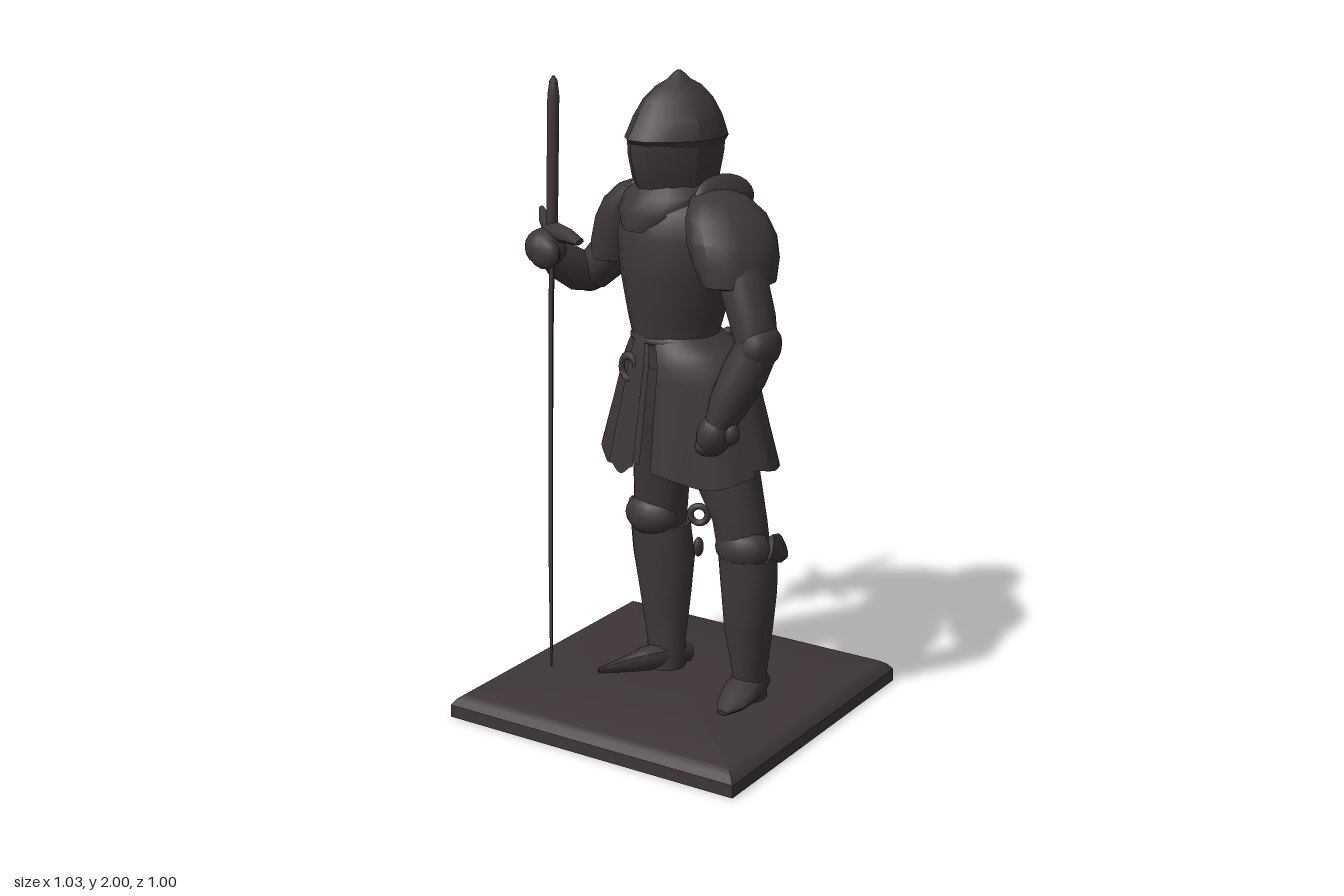
import * as THREE from 'three';
import { toCreasedNormals } from 'three/addons/utils/BufferGeometryUtils.js';

const steel = new THREE.MeshStandardMaterial({ color: 0x3e3636 });
steel.name = 'darkSteel';
const steelSheet = new THREE.MeshStandardMaterial({ color: 0x3e3636, side: THREE.DoubleSide });
steelSheet.name = 'darkSteelSheet';
const UP = new THREE.Vector3(0, 1, 0);

// Closed loft through rings [x, y, z, rx, rz], listed upward or along a limb.
// follow: rings turn with the path; pinch: narrows the front into a keel.
function loft(rings, { n = 16, yaw = 0, follow = false, pinch = 0, crease = 0.75 } = {}) {
  const pos = [], idx = [];
  const c = rings.map(r => new THREE.Vector3(r[0], r[1], r[2]));
  const last = rings.length - 1;
  rings.forEach((r, i) => {
    const q = new THREE.Quaternion();
    if (follow) {
      const t = c[Math.min(i + 1, last)].clone().sub(c[Math.max(i - 1, 0)]).normalize();
      q.setFromUnitVectors(UP, t);
    } else q.setFromAxisAngle(UP, yaw);
    for (let j = 0; j < n; j++) {
      const a = j / n * Math.PI * 2;
      const front = Math.max(0, Math.cos(a));
      const p = new THREE.Vector3(Math.sin(a) * r[3] * (1 - pinch * front), 0, Math.cos(a) * r[4]);
      pos.push(...p.applyQuaternion(q).add(c[i]).toArray());
    }
  });
  for (let i = 0; i < last; i++) for (let j = 0; j < n; j++) {
    const a = i * n + j, b = i * n + (j + 1) % n;
    idx.push(a, b, b + n, a, b + n, a + n);
  }
  const s = pos.length / 3;
  pos.push(...c[0].toArray(), ...c[last].toArray());
  for (let j = 0; j < n; j++) {
    const k = (j + 1) % n;
    idx.push(s, k, j, s + 1, last * n + j, last * n + k);
  }
  return finish(pos, idx, crease);
}

// Open sheet from a function of u, v in 0..1
function sheet(f, nu, nv) {
  const pos = [], idx = [];
  for (let i = 0; i <= nv; i++) for (let j = 0; j <= nu; j++) pos.push(...f(j / nu, i / nv));
  for (let i = 0; i < nv; i++) for (let j = 0; j < nu; j++) {
    const a = i * (nu + 1) + j, b = a + nu + 1;
    idx.push(a, b, a + 1, a + 1, b, b + 1);
  }
  return finish(pos, idx, 0.75);
}

function finish(pos, idx, crease) {
  const g = new THREE.BufferGeometry();
  g.setAttribute('position', new THREE.Float32BufferAttribute(pos, 3));
  g.setIndex(idx);
  return toCreasedNormals(g, crease);
}

export function createModel() {
  const model = new THREE.Group();
  model.name = 'armouredKnight';
  const add = (name, geo, mat = steel) => {
    const m = new THREE.Mesh(geo, mat);
    m.name = name;
    model.add(m);
    return m;
  };
  const ball = (name, p, s, ry = 0, rz = 0) => {
    const m = add(name, new THREE.SphereGeometry(1, 14, 10));
    m.position.set(...p);
    m.scale.set(...s);
    m.rotation.set(0, ry, rz);
    return m;
  };
  const lerp = THREE.MathUtils.lerp;
  const yaw = -0.35;

  // Bevelled square plinth with a gently domed top
  add('plinth', loft([[0, 0.5], [0.04, 0.5], [0.058, 0.487], [0.072, 0.468], [0.088, 0.15]]
    .map(([y, r]) => [0, y, 0, r * Math.SQRT2, r * Math.SQRT2]), { n: 4, yaw: Math.PI / 4, crease: 0.6 })).scale.x = 1.03;

  // Breastplate and gorget
  add('torso', loft([[0.015, 1.12, 0.01, 0.14, 0.125], [0.005, 1.19, 0.015, 0.135, 0.125], [0.005, 1.27, 0.01, 0.155, 0.145],
    [0.01, 1.4, 0.005, 0.19, 0.172], [0.01, 1.52, 0, 0.21, 0.178], [0.01, 1.6, -0.005, 0.2, 0.16],
    [0.01, 1.66, 0, 0.13, 0.11], [0.015, 1.72, 0.01, 0.085, 0.09]], { n: 20, yaw, pinch: 0.08 }));
  add('gorget', loft([[-0.015, 1.54, 0.05, 0.1, 0.13], [-0.01, 1.59, 0.03, 0.15, 0.15],
    [0, 1.64, 0.02, 0.15, 0.14], [0.01, 1.68, 0.02, 0.1, 0.11]], { yaw }));

  // Helmet: keeled visor with a peaked brow under a ridged skull
  const head = -0.45;
  add('visor', loft([[0.012, 1.63, 0.02, 0.097, 0.11], [0.012, 1.69, 0.024, 0.112, 0.138],
    [0.014, 1.76, 0.027, 0.122, 0.152], [0.016, 1.815, 0.028, 0.125, 0.155]], { n: 12, yaw: head, pinch: 0.14, crease: 0.5 }));
  add('helmetSkull', loft([[0.018, 1.79, 0.026, 0.122, 0.148], [0.018, 1.81, 0.03, 0.128, 0.165],
    [0.016, 1.87, 0.02, 0.119, 0.138], [0.015, 1.92, 0.015, 0.088, 0.11], [0.015, 1.955, 0.012, 0.055, 0.075],
    [0.015, 1.975, 0.01, 0.03, 0.035], [0.015, 1.99, 0.01, 0.018, 0.02], [0.015, 2, 0.01, 0.006, 0.006]],
  { n: 12, yaw: head, pinch: 0.14, crease: 0.5 }));

  // Skirt of overlapping plates, angle measured from the front towards +x
  const skirt = (name, a0, a1, bottom, grow) => add(name, sheet((u, v) => {
    const a = lerp(a0, a1, u);
    const hip = Math.sin(Math.min(1, v * 5) * Math.PI / 2);
    const r = grow * (1 + 0.02 * v * Math.sin(a * 9));
    return [0.015 + hip * 0.038 + Math.sin(a - 0.1) * (0.13 + hip * 0.055 + v * 0.108) * r,
      lerp(1.22, bottom + 0.015 * Math.cos(u * Math.PI * 2), v),
      0.01 - v * 0.01 + Math.cos(a - 0.1) * (0.128 + hip * 0.022 + v * 0.05) * r];
  }, 16, 10), steelSheet);
  skirt('leftFrontTasset', 0.05, 1.3, 0.8, 1.02);
  skirt('rightFrontTasset', -1.35, -0.1, 0.82, 1.02);
  skirt('frontFlap', -0.5, -0.16, 0.81, 1.07);
  skirt('leftBackSkirt', 1.15, 3.12, 0.825, 1);
  skirt('rightBackSkirt', 3.14, 5.15, 0.825, 1);
  add('hips', loft([[0.05, 0.92, -0.01, 0.17, 0.11], [0.05, 1.05, 0, 0.17, 0.13], [0.03, 1.16, 0.005, 0.14, 0.125], [0.015, 1.21, 0.01, 0.125, 0.115]]));

  // Belt, front knot and rear bosses
  const belt = add('belt', new THREE.TorusGeometry(0.125, 0.012, 8, 28));
  belt.rotation.x = Math.PI / 2;
  belt.scale.set(1.06, 1.02, 1);
  belt.position.set(0.012, 1.205, 0.012);
  const knot = add('beltKnot', new THREE.TorusGeometry(0.026, 0.01, 6, 14));
  knot.position.set(-0.07, 1.12, 0.155);
  knot.scale.y = 1.4;
  for (const a of [-0.9, -0.45, 0, 0.45, 0.9])
    ball('beltBoss', [0.02 + Math.sin(a) * 0.14, 1.18 - 0.02 * Math.cos(a * 3), -Math.cos(a) * 0.14], [0.02, 0.022, 0.022]);
  add('hangingPouch', loft([[0.05, 1.07, -0.18, 0.016, 0.014], [0.05, 1.12, -0.165, 0.022, 0.018], [0.05, 1.18, -0.13, 0.012, 0.012]], { n: 8 }));

  // Legs, with knee cops, swept side wings and sabatons
  const leg = (side, thigh, greave, knee, wing, foot) => {
    add(side + 'Thigh', loft(thigh));
    add(side + 'Greave', loft(greave));
    ball(side + 'KneeCop', knee, [0.09, 0.07, 0.068]);
    add(side + 'KneeWing', loft(wing, { follow: true, n: 10 }));
    add(side + 'Sabaton', loft(foot, { follow: true, n: 12 }));
  };
  leg('right',
    [[-0.095, 0.56, -0.055, 0.085, 0.075], [-0.085, 0.68, -0.045, 0.09, 0.08], [-0.07, 0.82, -0.035, 0.098, 0.093], [-0.055, 1.02, -0.01, 0.11, 0.11]],
    [[-0.065, 0.08, -0.045, 0.06, 0.06], [-0.07, 0.17, -0.05, 0.064, 0.055], [-0.08, 0.33, -0.06, 0.085, 0.076],
      [-0.085, 0.46, -0.06, 0.103, 0.086], [-0.095, 0.57, -0.055, 0.1, 0.084]],
    [-0.1, 0.6, -0.015],
    [[-0.185, 0.6, -0.02, 0.012, 0.04], [-0.19, 0.58, -0.07, 0.014, 0.045], [-0.17, 0.55, -0.125, 0.01, 0.035]],
    [[-0.03, 0.11, -0.115, 0.035, 0.03], [-0.055, 0.125, -0.06, 0.058, 0.045], [-0.11, 0.115, 0.02, 0.06, 0.04],
      [-0.16, 0.1, 0.08, 0.048, 0.022], [-0.21, 0.092, 0.13, 0.016, 0.008]]);
  leg('left',
    [[0.265, 0.54, 0.025, 0.083, 0.08], [0.245, 0.66, 0.025, 0.085, 0.085], [0.185, 0.82, 0.025, 0.115, 0.098], [0.13, 1.02, 0.01, 0.12, 0.11]],
    [[0.28, 0.08, 0.01, 0.05, 0.06], [0.28, 0.17, 0.015, 0.052, 0.062], [0.28, 0.32, 0.025, 0.075, 0.08],
      [0.28, 0.44, 0.025, 0.087, 0.087], [0.275, 0.55, 0.025, 0.093, 0.087]],
    [0.272, 0.58, 0.05],
    [[0.355, 0.59, 0.03, 0.012, 0.04], [0.355, 0.57, -0.03, 0.014, 0.045], [0.33, 0.54, -0.1, 0.01, 0.03]],
    [[0.275, 0.11, -0.06, 0.035, 0.03], [0.278, 0.13, 0, 0.054, 0.05], [0.283, 0.115, 0.08, 0.058, 0.04],
      [0.285, 0.1, 0.14, 0.045, 0.022], [0.287, 0.092, 0.19, 0.016, 0.008]]);
  const buckle = add('kneeBuckle', new THREE.TorusGeometry(0.028, 0.011, 6, 14));
  buckle.position.set(0.03, 0.6, -0.085);
  buckle.rotation.y = 0.4;
  ball('buckleEnd', [0.025, 0.49, -0.09], [0.015, 0.032, 0.02]);

  // Pauldrons: shells flared over the upper arm, rear wings and neck guards
  add('leftPauldron', loft([[0.3, 1.415, 0.125, 0.07, 0.1], [0.295, 1.42, 0.12, 0.085, 0.122], [0.275, 1.48, 0.105, 0.105, 0.14],
    [0.25, 1.54, 0.09, 0.112, 0.145], [0.22, 1.6, 0.075, 0.1, 0.13], [0.185, 1.65, 0.06, 0.07, 0.09],
    [0.165, 1.67, 0.05, 0.025, 0.035]], { yaw, crease: 0.6 }));
  add('rightPauldron', loft([[-0.255, 1.395, -0.07, 0.065, 0.08], [-0.25, 1.4, -0.072, 0.085, 0.1], [-0.235, 1.46, -0.072, 0.097, 0.11],
    [-0.21, 1.53, -0.07, 0.1, 0.118], [-0.185, 1.59, -0.06, 0.088, 0.108], [-0.155, 1.64, -0.05, 0.06, 0.08],
    [-0.135, 1.66, -0.045, 0.025, 0.035]], { yaw, crease: 0.6 }));
  ball('leftNeckGuard', [0.18, 1.64, 0.02], [0.028, 0.07, 0.11], yaw, 0.2);
  ball('rightNeckGuard', [-0.13, 1.62, -0.07], [0.028, 0.065, 0.1], yaw, -0.2);
  ball('leftPauldronWing', [0.18, 1.53, -0.06], [0.11, 0.13, 0.045], yaw - 0.25);
  ball('rightPauldronWing', [-0.09, 1.53, -0.13], [0.14, 0.12, 0.045], -0.1);

  // Left arm hanging bent, fist at the hip
  add('leftUpperArm', loft([[0.385, 1.24, 0.165, 0.058, 0.068], [0.36, 1.33, 0.155, 0.066, 0.076], [0.3, 1.46, 0.125, 0.072, 0.08]], { follow: true }));
  add('leftForearm', loft([[0.3, 1.02, 0.235, 0.042, 0.048], [0.32, 1.08, 0.22, 0.058, 0.062], [0.355, 1.17, 0.19, 0.068, 0.07],
    [0.385, 1.25, 0.17, 0.062, 0.07]], { follow: true }));
  ball('leftElbowCop', [0.392, 1.25, 0.165], [0.058, 0.07, 0.08], 0, -0.3);
  ball('leftFist', [0.285, 0.99, 0.235], [0.052, 0.07, 0.06], 0, -0.3);
  ball('leftFingers', [0.265, 0.955, 0.24], [0.036, 0.033, 0.048]);
  ball('leftThumb', [0.34, 1.0, 0.235], [0.025, 0.035, 0.025]);

  // Right arm reaching forward to grip the sword
  add('rightUpperArm', loft([[-0.345, 1.34, -0.05, 0.062, 0.062], [-0.295, 1.39, -0.06, 0.068, 0.075], [-0.23, 1.46, -0.075, 0.07, 0.08]], { follow: true }));
  add('rightForearm', loft([[-0.35, 1.34, -0.06, 0.055, 0.06], [-0.37, 1.35, -0.01, 0.06, 0.065], [-0.39, 1.39, 0.05, 0.06, 0.06],
    [-0.4, 1.425, 0.09, 0.042, 0.045]], { follow: true }));
  ball('rightElbowCop', [-0.365, 1.34, -0.06], [0.068, 0.065, 0.062]);
  ball('rightFist', [-0.405, 1.44, 0.11], [0.07, 0.06, 0.064], -0.5);
  ball('rightFingers', [-0.385, 1.43, 0.145], [0.055, 0.05, 0.03]);

  // Sword leaning back: diamond blade to the plinth, round grip above, swept guard
  add('swordBlade', loft([[-0.37, 0.085, 0.165, 0.005, 0.003], [-0.371, 0.16, 0.162, 0.018, 0.005], [-0.376, 0.5, 0.15, 0.034, 0.007],
    [-0.385, 1.15, 0.118, 0.028, 0.008], [-0.388, 1.45, 0.1, 0.024, 0.009]], { n: 4, yaw: -Math.PI / 4, crease: 0.2 }));
  add('swordGrip', loft([[-0.388, 1.4, 0.102, 0.018, 0.018], [-0.39, 1.7, 0.087, 0.019, 0.019], [-0.391, 1.9, 0.077, 0.019, 0.019],
    [-0.391, 1.945, 0.075, 0.013, 0.013], [-0.391, 1.96, 0.074, 0.004, 0.004]], { n: 10 }));
  add('swordGuard', loft([[-0.51, 1.53, -0.015, 0.008, 0.008], [-0.46, 1.505, 0.035, 0.02, 0.02], [-0.385, 1.49, 0.095, 0.032, 0.03],
    [-0.3, 1.49, 0.135, 0.022, 0.024], [-0.235, 1.485, 0.168, 0.008, 0.014]], { follow: true, n: 8 }));

  return model;
}
